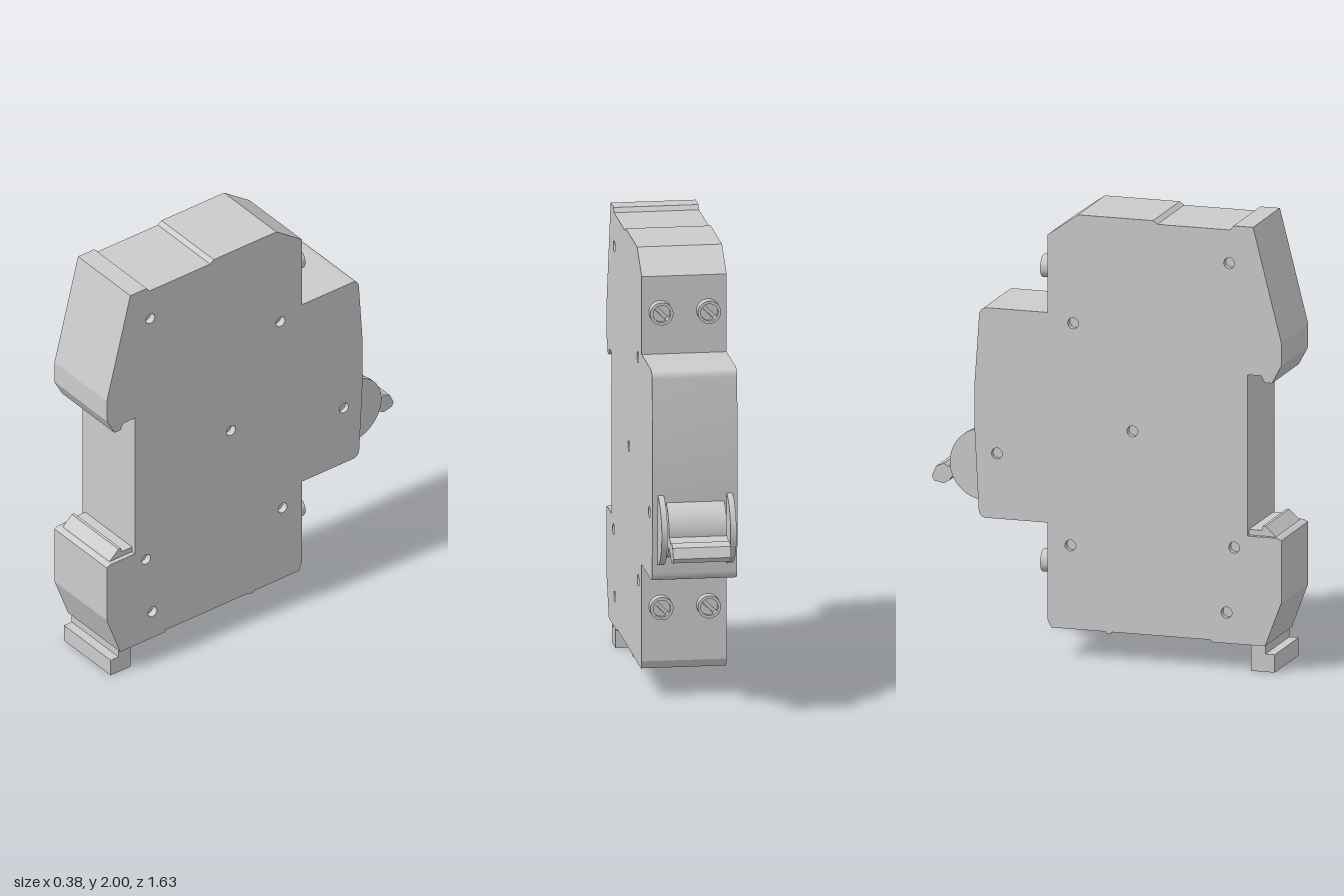
import * as THREE from 'three';
import { toCreasedNormals } from 'three/addons/utils/BufferGeometryUtils.js';

const material = new THREE.MeshStandardMaterial({ color: 0xcccccc });

function part(name, geometry, x = 0, y = 0, z = 0) {
  const mesh = new THREE.Mesh(toCreasedNormals(geometry, 0.22), material);
  mesh.name = name;
  mesh.position.set(x, y, z);
  return mesh;
}

// Extrudes a (z, y) side profile across the width, centred on x = 0
function acrossWidth(shape, width) {
  return new THREE.ExtrudeGeometry(shape, { depth: width, bevelEnabled: false, curveSegments: 10 })
    .translate(0, 0, -width / 2)
    .rotateY(-Math.PI / 2);
}

function polygon(points) {
  return new THREE.Shape(points.map(([z, y]) => new THREE.Vector2(z, y)));
}

function housingShape() {
  const s = new THREE.Shape();
  const lines = (points) => points.forEach(([z, y]) => s.lineTo(z, y));
  s.moveTo(0.685, 2);
  // top edge with its shallow step, then the upper terminal face
  lines([[0.595, 2], [0.58, 1.98], [0.245, 1.98], [0.225, 1.995], [-0.12, 1.995],
    [-0.26, 1.895], [-0.26, 1.545], [-0.535, 1.545]]);
  // raised operating face with rounded corners
  s.quadraticCurveTo(-0.572, 1.545, -0.575, 1.508);
  lines([[-0.596, 1.2], [-0.596, 1.0], [-0.577, 0.637]]);
  s.quadraticCurveTo(-0.575, 0.6, -0.54, 0.6);
  // lower terminal face and underside
  lines([[-0.26, 0.6], [-0.26, 0.165], [-0.243, 0.13], [0.005, 0.13], [0.012, 0.122],
    [0.03, 0.122], [0.038, 0.13], [0.488, 0.13], [0.496, 0.12], [0.74, 0.12],
    [0.815, 0.32], [0.815, 0.6], [0.795, 0.61], [0.66, 0.61]]);
  // rail recess and upper hook
  lines([[0.66, 1.335], [0.723, 1.335], [0.738, 1.305], [0.772, 1.305],
    [0.815, 1.385], [0.815, 1.49]]);
  s.closePath();
  return s;
}

// One terminal screw: collar with a sunk, slotted head, facing -z
function terminalScrew(x, y) {
  const screw = new THREE.Group();
  screw.name = 'terminalScrew';
  const profile = [[0.051, -0.01], [0.051, 0.045], [0.038, 0.045], [0.038, 0.012], [0, 0.012]]
    .map(([r, h]) => new THREE.Vector2(r, h));
  screw.add(part('screwCollar', new THREE.LatheGeometry(profile, 36).rotateX(-Math.PI / 2)));
  for (const turn of [0, Math.PI]) {
    const half = new THREE.Shape();
    half.absarc(0, 0, 0.038, 0.22, Math.PI - 0.22, false);
    half.closePath();
    const head = new THREE.ExtrudeGeometry(half, { depth: 0.016, bevelEnabled: false, curveSegments: 16 });
    head.rotateZ(turn + Math.PI / 4).translate(0, 0, -0.028);
    screw.add(part('screwHeadHalf', head));
  }
  screw.position.set(x, y, -0.26);
  return screw;
}

export function createModel() {
  const model = new THREE.Group();
  model.name = 'circuitBreaker';
  const width = 0.375;

  // Housing with shallow rivet holes on both sides
  const rivets = [[0.575, 1.83], [-0.143, 1.505], [0.13, 1.04], [-0.493, 0.893],
    [0.598, 0.553], [0.563, 0.258], [-0.155, 0.505]];
  const shape = housingShape();
  for (const [z, y] of rivets) {
    const hole = new THREE.Path();
    hole.absarc(z, y, 0.025, 0, Math.PI * 2, true);
    shape.holes.push(hole);
    const pin = new THREE.CylinderGeometry(0.0255, 0.0255, width - 0.06, 24).rotateZ(Math.PI / 2);
    model.add(part('rivet', pin, 0, y, z));
  }
  model.add(part('housing', acrossWidth(shape, width)));

  // Sliding rail latch: catch at the recess, pull tab at the foot
  const catchShape = polygon([[0.79, 0.605], [0.735, 0.655], [0.722, 0.655], [0.718, 0.635],
    [0.65, 0.635], [0.65, 0.605]]);
  model.add(part('railCatch', acrossWidth(catchShape, 0.335)));
  const tab = polygon([[0.778, 0], [0.67, 0], [0.67, 0.13], [0.735, 0.13], [0.735, 0.08], [0.778, 0.08]]);
  model.add(part('latchPullTab', acrossWidth(tab, 0.335)));

  // Terminal screws above and below the operating face
  for (const y of [1.735, 0.41])
    for (const x of [-0.105, 0.105]) model.add(terminalScrew(x, y));

  // Toggle: drum between two guard discs, with a lever
  const toggle = new THREE.Group();
  toggle.name = 'toggle';
  const disc = (r, w) => new THREE.CylinderGeometry(r, r, w, 64).rotateZ(Math.PI / 2);
  for (const side of [-1, 1]) toggle.add(part('guardDisc', disc(0.162, 0.026), side * 0.152, 0.835, -0.555));
  toggle.add(part('drum', disc(0.128, 0.256), 0, 0.835, -0.555));
  const lever = polygon([[-0.64, 0.83], [-0.715, 0.815], [-0.738, 0.802], [-0.757, 0.815],
    [-0.792, 0.8], [-0.812, 0.755], [-0.802, 0.735], [-0.757, 0.725], [-0.728, 0.742],
    [-0.724, 0.755], [-0.64, 0.785]]);
  toggle.add(part('lever', acrossWidth(lever, 0.256)));
  model.add(toggle);

  return model;
}
